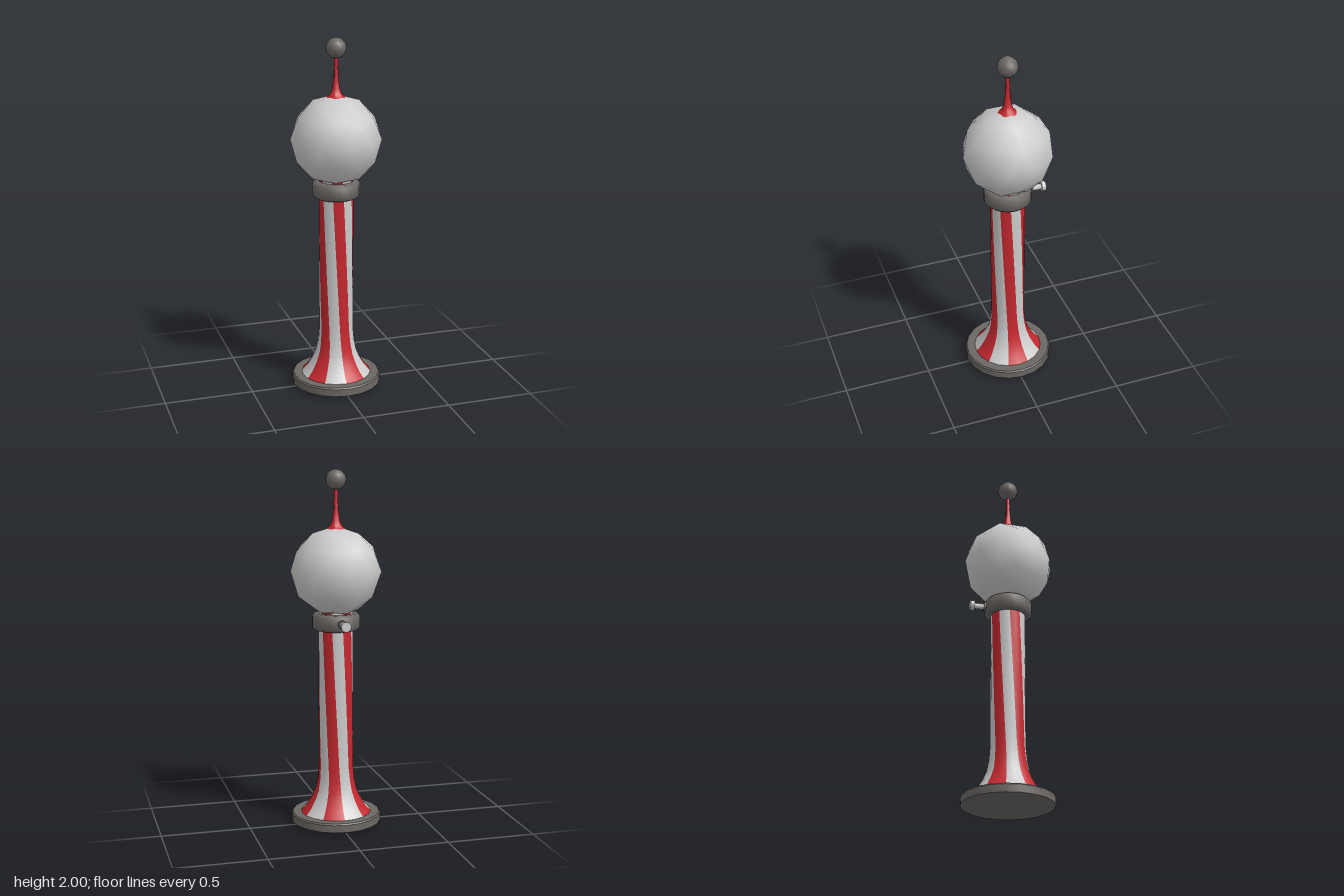
import * as THREE from 'three';
import { toCreasedNormals } from 'three/addons/utils/BufferGeometryUtils.js';

const SIDES = 20;
const STRIPES = 10;
const UP = new THREE.Vector3(0, 1, 0);

const mat = (color) => new THREE.MeshStandardMaterial({ color });
const points = (list) => list.map(([r, y]) => new THREE.Vector2(r, y));

function addMesh(parent, name, geometry, material) {
  const mesh = new THREE.Mesh(geometry, material);
  mesh.name = name;
  parent.add(mesh);
  return mesh;
}

// Turned part with sharp edges kept where the profile bends strongly
function turned(profile, sides = SIDES, crease = 0.6) {
  return toCreasedNormals(new THREE.LatheGeometry(points(profile), sides), crease);
}

// Stripe angle at a height: straight in the flare, then winding up the shaft
function twistAt(y) {
  return THREE.MathUtils.degToRad(18 - 30 * Math.max(0, y - 0.22));
}

// One stripe of the column: a slice of a lathe, twisted about the axis
function stripeGeometry(profile, index) {
  const width = (Math.PI * 2) / STRIPES;
  const geometry = new THREE.LatheGeometry(profile, 2, (index - 0.5) * width, width);
  const { position, normal } = geometry.attributes;
  const v = new THREE.Vector3();
  for (let i = 0; i < position.count; i++) {
    const angle = twistAt(position.getY(i));
    for (const attribute of [position, normal]) {
      v.fromBufferAttribute(attribute, i).applyAxisAngle(UP, angle);
      attribute.setXYZ(i, v.x, v.y, v.z);
    }
  }
  return geometry;
}

export function createModel() {
  const model = new THREE.Group();
  model.name = 'stripedLampPost';
  const dark = mat(0x6b6764);
  const red = mat(0xc4282f);
  const pale = mat(0xcccccc);

  // Base disc with a slightly domed underside
  addMesh(model, 'base', turned([
    [0, 0], [0.05, 0.003], [0.245, 0.012], [0.253, 0.016],
    [0.253, 0.058], [0.246, 0.066], [0.19, 0.066], [0, 0.066],
  ]), dark);

  // Flared column made of alternating twisted stripes
  const profile = points([
    [0.203, 0.06], [0.167, 0.1], [0.137, 0.15], [0.116, 0.2], [0.104, 0.26], [0.097, 0.34],
  ]);
  for (let i = 1; i <= 10; i++) profile.push(new THREE.Vector2(0.097, 0.34 + 0.09 * i));
  const column = new THREE.Group();
  column.name = 'column';
  model.add(column);
  for (let i = 0; i < STRIPES; i++) {
    const isRed = i % 2 === 0;
    addMesh(column, isRed ? 'redStripe' : 'paleStripe', stripeGeometry(profile, i), isRed ? red : pale);
  }

  // Collar ring near the top of the column
  addMesh(model, 'collar', turned([
    [0.09, 1.117], [0.12, 1.117], [0.133, 1.13], [0.133, 1.195], [0.12, 1.21], [0.09, 1.21],
  ], SIDES, 0.9), dark);

  // Spigot at the back of the collar
  const spigot = new THREE.Group();
  spigot.name = 'spigot';
  spigot.position.set(0, 1.163, 0);
  spigot.rotation.x = -Math.PI / 2;
  model.add(spigot);
  addMesh(spigot, 'spigotSocket', turned([[0.024, 0.1], [0.024, 0.143], [0, 0.143]], 12), dark);
  addMesh(spigot, 'spigotPipe', turned([[0.016, 0.12], [0.016, 0.2]], 12), pale);
  addMesh(spigot, 'spigotCap', turned([
    [0, 0.196], [0.028, 0.196], [0.028, 0.22], [0, 0.22],
  ], 12), pale);

  // Coarse, smoothly shaded globe with a vertex at each pole
  const globeGeometry = new THREE.IcosahedronGeometry(0.252, 1);
  globeGeometry.rotateZ(-Math.atan2(2, 1 + Math.sqrt(5)));
  addMesh(model, 'globe', globeGeometry, pale).position.y = 1.44;

  // Spire flaring down onto the globe
  addMesh(model, 'spire', turned([
    [0, 1.635], [0.09, 1.635], [0.098, 1.645], [0.075, 1.66], [0.05, 1.675], [0.032, 1.695],
    [0.022, 1.72], [0.015, 1.77], [0.012, 1.83], [0.01, 1.9],
  ], SIDES, 0.9), red);

  // Ball on the tip
  addMesh(model, 'finialBall', new THREE.SphereGeometry(0.057, SIDES, 6), dark).position.y = 1.943;

  return model;
}
